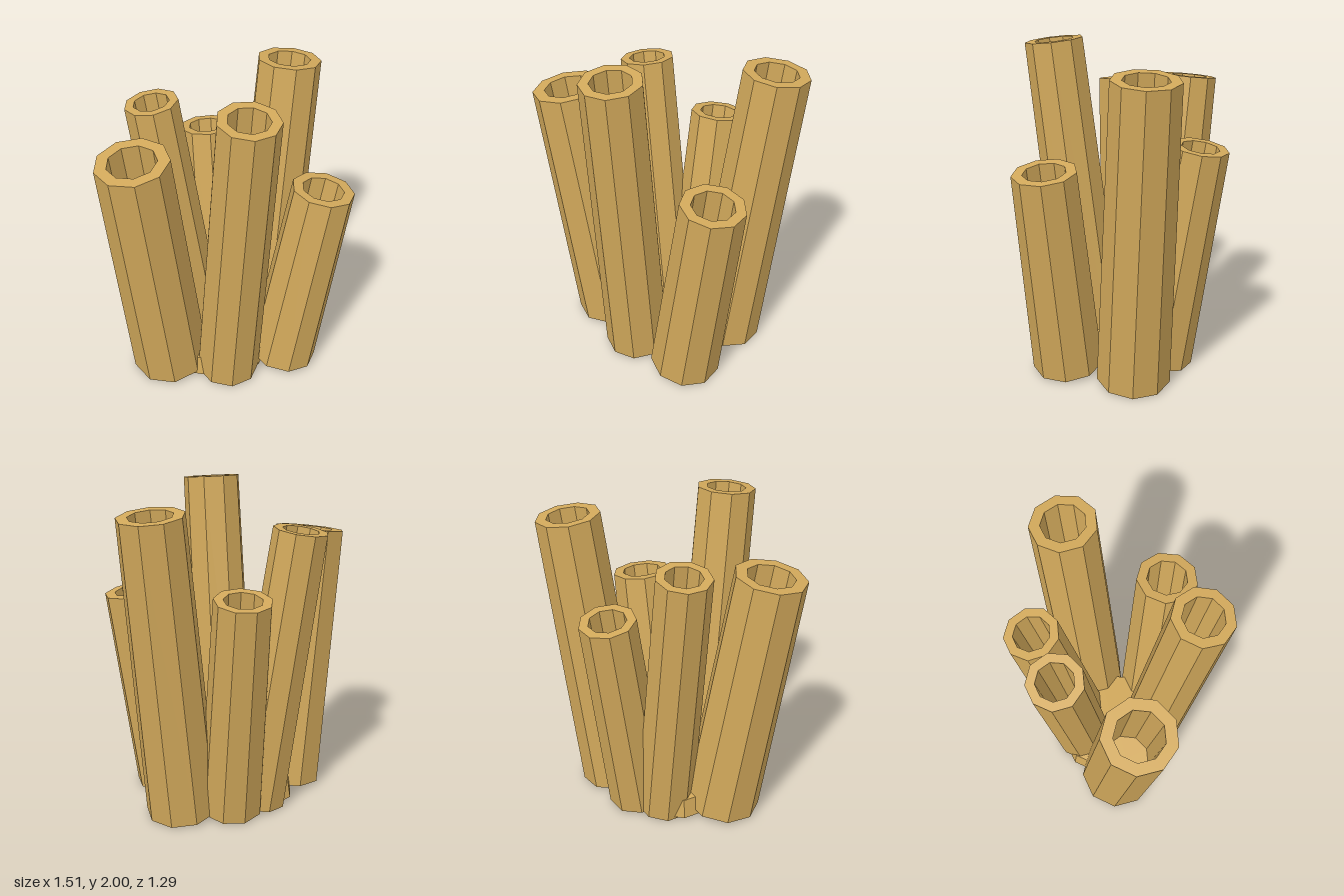
import * as THREE from 'three';

const SIDES = 9;

// Faceted solid of revolution with one corner pointing to -x
function facetedLathe(profile) {
  const points = profile.map(([r, y]) => new THREE.Vector2(r, y));
  const geometry = new THREE.LatheGeometry(points, SIDES, -Math.PI / 2).toNonIndexed();
  geometry.computeVertexNormals();
  return geometry;
}

// Tapered hollow stalk running from its base centre to its rim centre
function makeStalk(name, base, rim, rimRadius, material) {
  const start = new THREE.Vector3(...base);
  const axis = new THREE.Vector3(...rim).sub(start);
  const length = axis.length();
  const bore = rimRadius * 0.67;
  const floor = length * 0.45;
  const stalk = new THREE.Mesh(facetedLathe([
    [0, 0], [rimRadius * 1.15, 0],
    [rimRadius, length], [bore, length],
    [bore, floor], [0, floor],
  ]), material);
  stalk.name = name;
  stalk.position.copy(start);
  stalk.quaternion.setFromUnitVectors(new THREE.Vector3(0, 1, 0), axis.normalize());
  return stalk;
}

export function createModel() {
  const group = new THREE.Group();
  group.name = 'stalkCluster';

  const tan = new THREE.MeshStandardMaterial({ color: 0xd2a95b });
  tan.name = 'tan';

  // Six leaning stalks: name, base centre, rim centre, rim radius
  const stalks = [
    ['frontStalk', [0, 0.025, 0.25], [0.026, 1.98, 0.47], 0.177],
    ['frontLeftStalk', [0.386, 0.035, 0.255], [0.573, 1.32, 0.287], 0.19],
    ['backLeftStalk', [0.4, 0.025, -0.186], [0.57, 1.885, -0.32], 0.195],
    ['backStalk', [0.105, 0.032, -0.26], [0.094, 1.42, -0.482], 0.17],
    ['backRightStalk', [-0.075, 0.026, -0.2], [-0.31, 1.755, -0.28], 0.163],
    ['frontRightStalk', [-0.34, 0.035, 0.065], [-0.545, 1.67, 0.19], 0.215],
  ];
  for (const [name, base, rim, radius] of stalks) {
    group.add(makeStalk(name, base, rim, radius, tan));
  }

  // Low core that joins the stalks at the bottom
  const core = new THREE.Mesh(
    facetedLathe([[0, 0.02], [0.38, 0.02], [0.36, 0.15], [0, 0.17]]), tan);
  core.name = 'core';
  group.add(core);

  return group;
}
